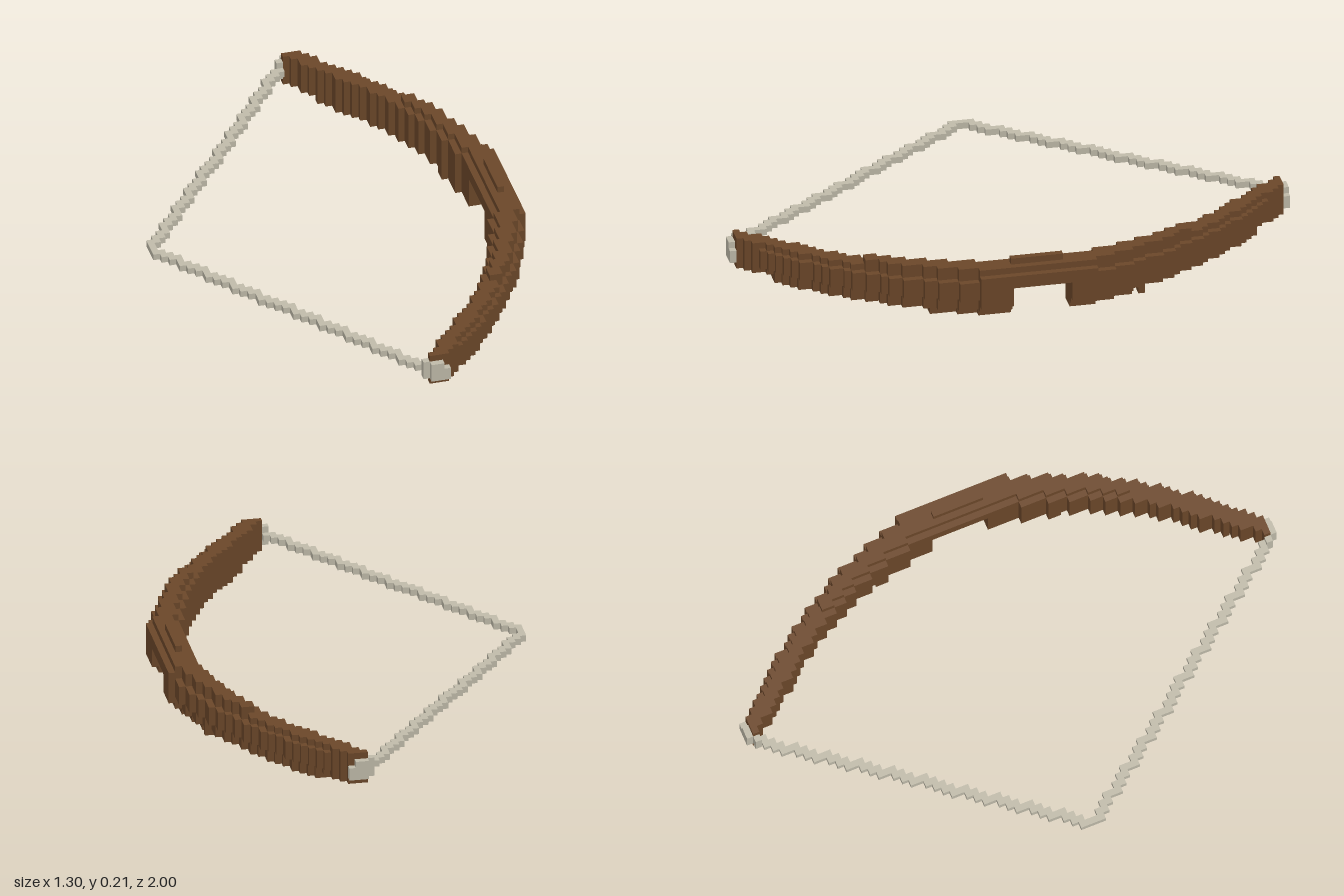
import * as THREE from 'three';

const V = 1 / 43; // edge of one cube

// Linear interpolation through [distance, value] pairs
function lookup(table, d) {
  for (let i = 1; i < table.length; i++) {
    const [d0, a] = table[i - 1], [d1, b] = table[i];
    if (d <= d1) return a + (b - a) * (d - d0) / (d1 - d0);
  }
  return table[table.length - 1][1];
}

// A set of cubes on the grid; only exposed faces are built
class Cubes {
  constructor() { this.cells = new Map(); }
  add(x0, x1, y, z) {
    for (let x = x0; x <= x1; x++) this.cells.set(`${x},${y},${z}`, [x, y, z]);
  }
  mesh(name, material) {
    const pos = [], nor = [];
    for (const c of this.cells.values()) {
      for (let axis = 0; axis < 3; axis++) for (const s of [1, -1]) {
        const n = [0, 0, 0];
        n[axis] = s;
        if (this.cells.has(c.map((v, i) => v + n[i]).join())) continue;
        const u = (axis + 1) % 3, w = (axis + 2) % 3;
        const corners = [[0, 0], [1, 0], [1, 1], [0, 1]].map(([a, b]) => {
          const p = [...c];
          if (s > 0) p[axis] += 1;
          p[u] += a;
          p[w] += b;
          return p.map(v => v * V);
        });
        for (const i of s > 0 ? [0, 1, 2, 0, 2, 3] : [0, 2, 1, 0, 3, 2]) {
          pos.push(...corners[i]);
          nor.push(...n);
        }
      }
    }
    const g = new THREE.BufferGeometry();
    g.setAttribute('position', new THREE.Float32BufferAttribute(pos, 3));
    g.setAttribute('normal', new THREE.Float32BufferAttribute(nor, 3));
    const m = new THREE.Mesh(g, material);
    m.name = name;
    return m;
  }
}

// Outer and inner edge of the curved limbs by distance from the middle
const OUTER = [[0, 0.651], [0.16, 0.65], [0.25, 0.63], [0.33, 0.6], [0.43, 0.56], [0.5, 0.525],
  [0.56, 0.49], [0.65, 0.435], [0.75, 0.365], [0.8, 0.325], [0.9, 0.225], [0.98, 0.14]];
const INNER = [[0, 0.535], [0.16, 0.535], [0.28, 0.505], [0.38, 0.475], [0.48, 0.435], [0.585, 0.38],
  [0.66, 0.335], [0.73, 0.285], [0.81, 0.215], [0.91, 0.135], [0.98, 0.093]];

export function createModel() {
  const group = new THREE.Group();
  const wood = new THREE.MeshStandardMaterial({ color: 0x6b4729 });
  wood.name = 'brown wood';
  const cord = new THREE.MeshStandardMaterial({ color: 0xbfbaa9 });
  cord.name = 'pale cord';

  // Bow limbs: rounded section, with a notch under the middle
  const bow = new Cubes();
  for (let z = -42; z < 42; z++) {
    const d = Math.abs(z + 0.5) * V;
    const a = Math.round(lookup(INNER, d) / V);
    const b = Math.round(lookup(OUTER, d) / V) - 1;
    const notch = z >= -5 && z <= 3;
    const edge = d > 0.2 && d < 0.9 ? 1 : 0;
    for (let y = 0; y < 8; y++) {
      if (notch && y < 5) continue;
      if (y === 0) { if (d < 0.34) bow.add(a, b - 2, y, z); }
      else if (y === 1) { if (d < 0.85) bow.add(a, b - 1, y, z); }
      else if (y === 7) { if (d < 0.58) bow.add(a + 1, b - 1, y, z); }
      else bow.add(a, b - (y === 2 || y === 6 ? edge : 0), y, z);
    }
    // Ridge on top of the grip
    if (z >= -4 && z <= 3) bow.add(25, 25, 8, z);
  }
  // Small studs beyond the grip
  bow.add(22, 23, 0, 15);
  bow.add(22, 23, 0, -17);
  group.add(bow.mesh('bowLimbs', wood));

  // Drawn string: two stepped diagonals meeting in a point
  const string = new Cubes();
  const xAt = k => Math.floor(-28 + k * 32 / 42);
  for (let k = 0; k < 42; k++) {
    string.add(xAt(k), xAt(k + 1), 4, k);
    string.add(xAt(k), xAt(k + 1), 4, -1 - k);
  }
  group.add(string.mesh('bowString', cord));

  // String loops wrapped over both tips
  const loops = new Cubes();
  for (const [end, next] of [[42, 41], [-43, -42]]) {
    for (let y = 3; y <= 5; y++) {
      loops.add(4, y < 5 ? 6 : 5, y, end);
      loops.add(3, 3, y, next);
      if (y < 5) loops.add(6, 6, y, next);
    }
  }
  group.add(loops.mesh('stringLoops', cord));
  return group;
}
